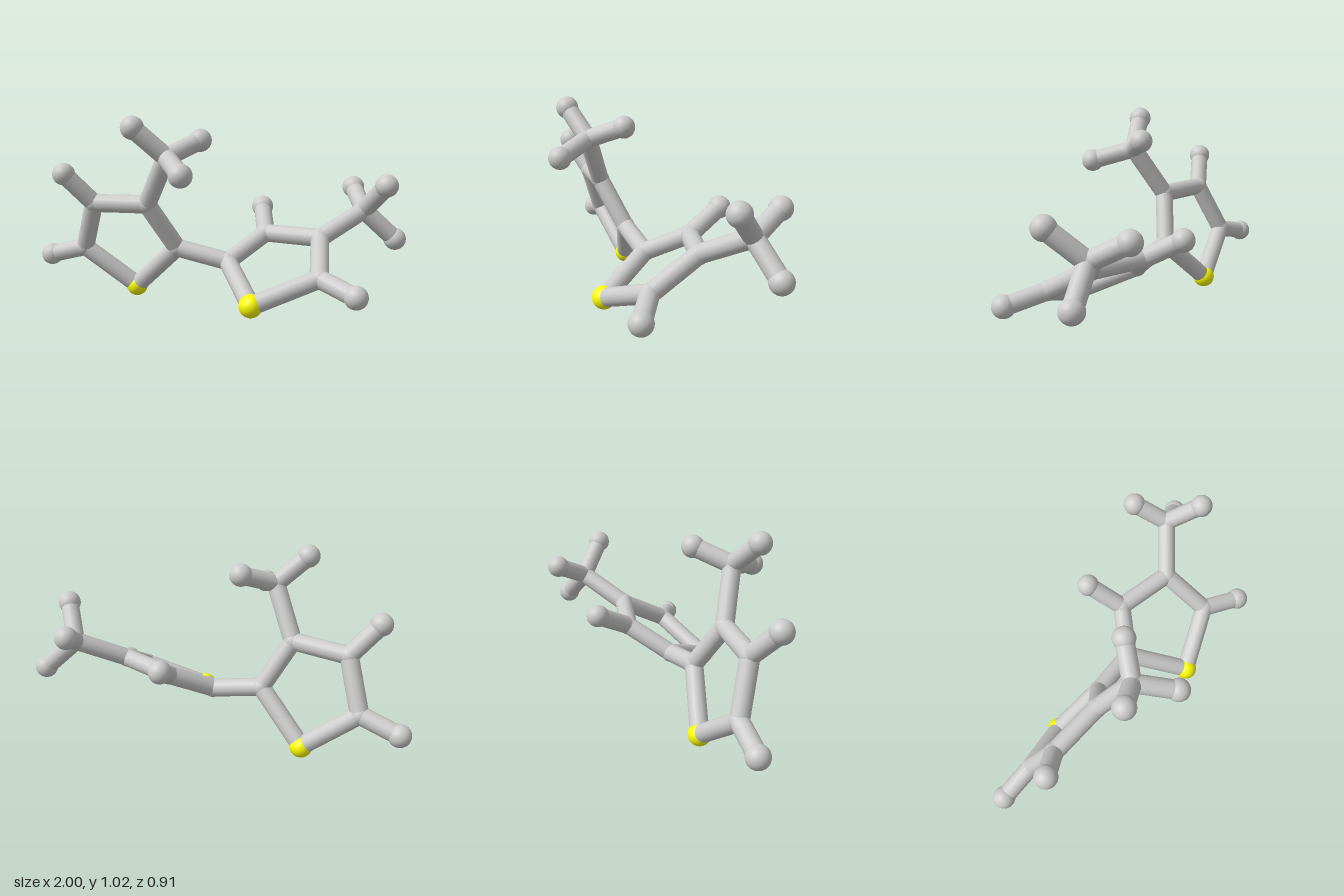
import * as THREE from 'three';

const BALL_R = 0.059, BOND_R = 0.048, JOINT_R = 0.051;

// Node positions; the first letter gives the kind: s = yellow, c = joint, h = end ball
const NODES = {
  // right ring with its three-pronged branch
  sA: [-0.455, 0.059, -0.108],
  cA2: [-0.2, 0.305, -0.005],
  cA3: [-0.335, 0.55, 0.09],
  cA4: [-0.64, 0.54, 0.045],
  cA5: [-0.735, 0.275, -0.06],
  hA4: [-0.777, 0.7, 0.115],
  hA5: [-0.943, 0.218, -0.09],
  cAm: [-0.2, 0.81, 0.205],
  hAm1: [-0.354, 0.957, 0.265],
  hAm2: [-0.083, 0.745, 0.398],
  hAm3: [-0.058, 0.884, 0.06],
  // left ring with its three-pronged branch
  sB: [0.24, 0.098, 0.291],
  cB2: [0.075, 0.245, 0],
  cB3: [0.255, 0.37, -0.168],
  cB4: [0.55, 0.375, -0.067],
  cB5: [0.565, 0.225, 0.19],
  hB3: [0.211, 0.482, -0.36],
  hB5: [0.745, 0.175, 0.311],
  cBm: [0.77, 0.503, -0.222],
  hBm1: [0.88, 0.656, -0.078],
  hBm2: [0.71, 0.602, -0.398],
  hBm3: [0.938, 0.344, -0.266],
};

// Bonds within one half, repeated for A and B
const HALF = ['s 2', '2 3', '3 4', '4 5', '5 s', '5 h5', 'm hm1', 'm hm2', 'm hm3'];

export function createModel() {
  const model = new THREE.Group();
  const grey = new THREE.MeshStandardMaterial({ color: 0xcccccc });
  const yellow = new THREE.MeshStandardMaterial({ color: 0xffff00 });
  const ball = new THREE.SphereGeometry(BALL_R, 32, 20);
  const joint = new THREE.SphereGeometry(JOINT_R, 32, 20);
  const rod = new THREE.CylinderGeometry(BOND_R, BOND_R, 1, 16, 1, true);
  const up = new THREE.Vector3(0, 1, 0);

  // balls and joints
  for (const [key, p] of Object.entries(NODES)) {
    const kind = key[0];
    const mesh = new THREE.Mesh(kind === 'c' ? joint : ball, kind === 's' ? yellow : grey);
    mesh.name = { s: 'sulfurBall', c: 'carbonJoint', h: 'hydrogenBall' }[kind];
    mesh.position.set(...p);
    model.add(mesh);
  }

  // a rod between two nodes
  const addBond = (from, to) => {
    const a = new THREE.Vector3(...NODES[from]);
    const b = new THREE.Vector3(...NODES[to]);
    const dir = b.clone().sub(a);
    const mesh = new THREE.Mesh(rod, grey);
    mesh.name = 'bond';
    mesh.scale.y = dir.length();
    mesh.position.copy(a).add(b).multiplyScalar(0.5);
    mesh.quaternion.setFromUnitVectors(up, dir.normalize());
    model.add(mesh);
  };

  // rings and prongs
  for (const side of ['A', 'B']) {
    const full = (n) => (n === 's' ? 's' + side : n[0] === 'h' ? 'h' + side + n.slice(1) : 'c' + side + n);
    for (const pair of HALF) addBond(...pair.split(' ').map(full));
  }

  // link between the rings and the bonds that differ per side
  addBond('cA2', 'cB2');
  addBond('cA3', 'cAm');
  addBond('cA4', 'hA4');
  addBond('cB4', 'cBm');
  addBond('cB3', 'hB3');

  return model;
}
